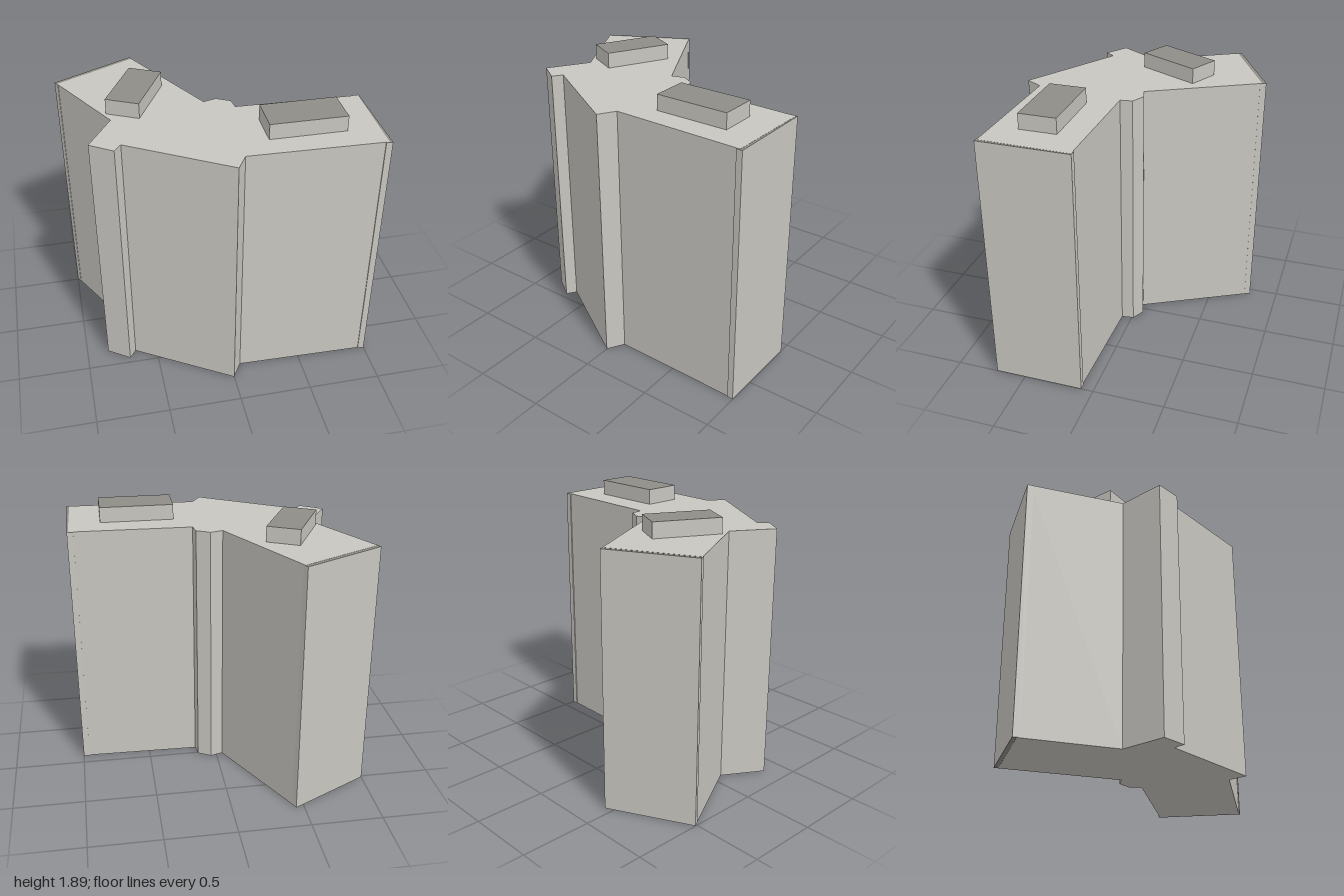
import * as THREE from 'three';

const wall = new THREE.MeshStandardMaterial({ color: 0xc8c6c0 });
wall.name = 'light wall grey';
const roof = new THREE.MeshStandardMaterial({ color: 0x8f8d86 });
roof.name = 'dark roof grey';

// Upright prism over a floor plan of [x, z] corners
function prism(name, plan, bottom, top, topMaterial) {
  const shape = new THREE.Shape(plan.map(([x, z]) => new THREE.Vector2(x, -z)));
  const geometry = new THREE.ExtrudeGeometry(shape, { depth: top - bottom, bevelEnabled: false });
  geometry.rotateX(-Math.PI / 2);
  geometry.translate(0, bottom, 0);
  const mesh = new THREE.Mesh(geometry, [topMaterial, wall]);
  mesh.name = name;
  return mesh;
}

export function createModel() {
  const model = new THREE.Group();
  model.name = 'angledTower';
  const height = 1.78;

  // Main block: two wings meeting at an angle, with stair bays in the corners
  model.add(prism('mainBlock', [
    [-0.985, -0.49], [-0.68, 0.08], [-0.85, 0.355], [-0.7, 0.457], [-0.652, 0.393],
    [0, 0.795], [0.068, 0.68], [0.98, 0.702], [0.992, 0.092], [0.147, 0.072],
    [0.135, -0.012], [0.043, -0.062], [-0.045, -0.036], [-0.432, -0.773],
  ], 0, height, wall));

  // End walls closing the two wings, just below the main roof plane
  model.add(prism('leftEndWall', [
    [0.957, 0.085], [0.957, 0.708], [1, 0.71], [1, 0.085],
  ], 0.001, height - 0.001, roof));
  model.add(prism('rightEndWall', [
    [-1, -0.513], [-0.98, -0.475], [-0.424, -0.76], [-0.442, -0.8],
  ], 0.001, height - 0.001, roof));

  // Rooftop housings
  model.add(prism('leftRoofHousing', [
    [0.257, 0.267], [0.257, 0.523], [0.77, 0.523], [0.77, 0.267],
  ], height, 1.887, roof));
  model.add(prism('rightRoofHousing', [
    [-0.49, -0.418], [-0.7, -0.007], [-0.494, 0.098], [-0.284, -0.313],
  ], height, 1.887, roof));

  return model;
}
